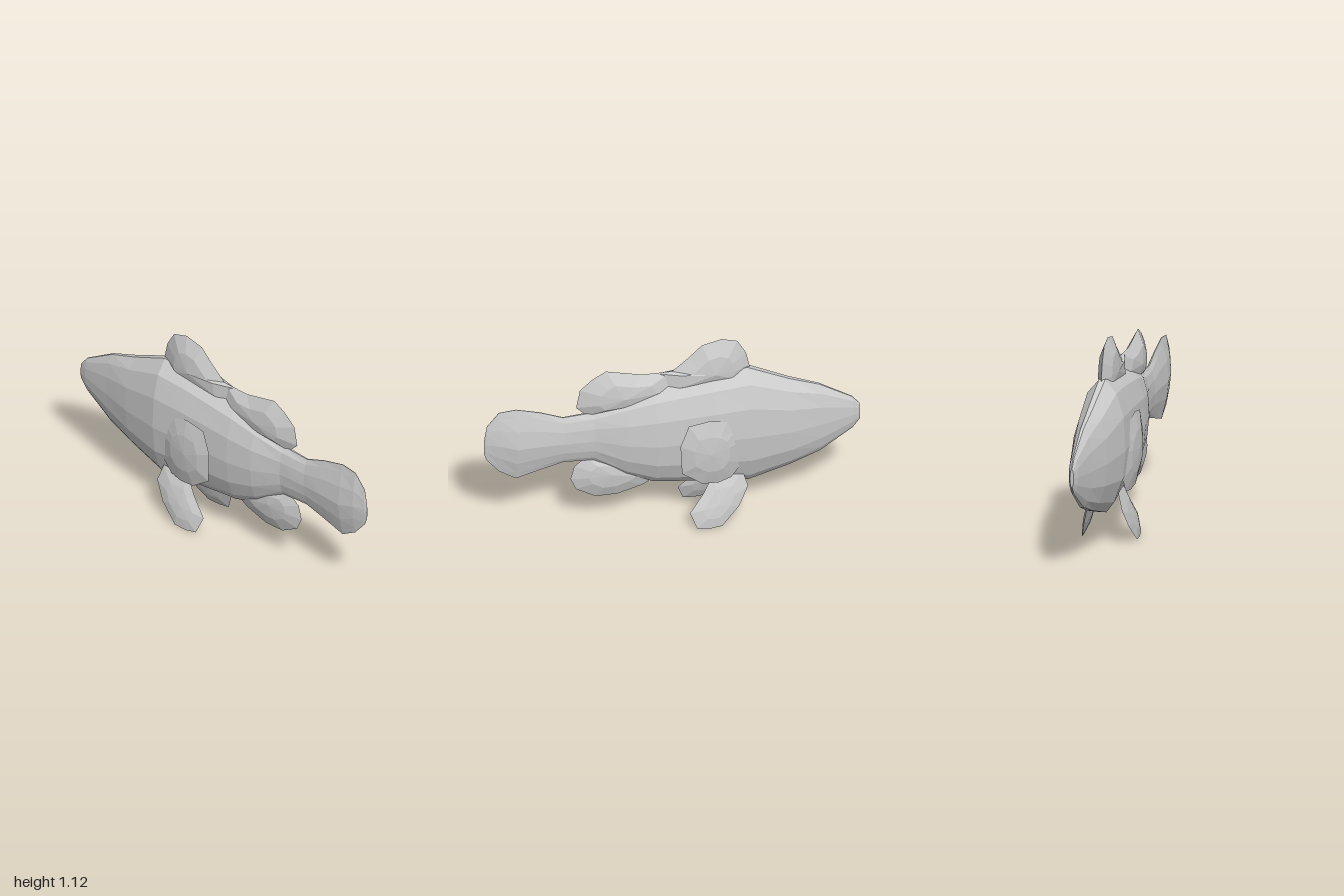
import * as THREE from 'three';

// Body stations: z, bottom, top, centre x, half width, lens blend (0 = full flank, 1 = thin fin)
const STATIONS = [
  [-1.0, 0.50, 0.60, 0.066, 0.010, 0],
  [-0.96, 0.45, 0.65, 0.064, 0.025, 0],
  [-0.785, 0.33, 0.757, 0.05, 0.058, 0],
  [-0.62, 0.265, 0.82, 0.035, 0.095, 0],
  [-0.4, 0.195, 0.92, 0.01, 0.125, 0],
  [-0.2, 0.22, 0.90, 0, 0.125, 0],
  [0.1, 0.25, 0.85, -0.028, 0.108, 0],
  [0.25, 0.31, 0.80, -0.043, 0.085, 0],
  [0.42, 0.425, 0.73, -0.055, 0.042, 0],
  [0.58, 0.43, 0.718, -0.067, 0.035, 0.4],
  [0.7, 0.395, 0.765, -0.078, 0.039, 0.8],
  [0.83, 0.355, 0.80, -0.09, 0.041, 1],
  [0.92, 0.41, 0.79, -0.1, 0.027, 1],
  [0.985, 0.49, 0.71, -0.104, 0.010, 1],
  [1.0, 0.53, 0.62, -0.105, 0.003, 1],
];

// Half cross-section from back to belly: height fraction, flank width, lens width
const SECTION = [
  [1, 0.13, 0.04], [0.9, 0.62, 0.3], [0.72, 0.92, 0.75], [0.47, 1, 1],
  [0.25, 0.87, 0.7], [0.08, 0.52, 0.25], [0, 0.18, 0.04],
];

const material = () => new THREE.MeshStandardMaterial({
  color: 0xcccccc, flatShading: true, side: THREE.DoubleSide,
});

function makeMesh(name, points, index) {
  const geometry = new THREE.BufferGeometry();
  geometry.setAttribute('position', new THREE.Float32BufferAttribute(points.flat(), 3));
  geometry.setIndex(index);
  geometry.computeVertexNormals();
  const mesh = new THREE.Mesh(geometry, material());
  mesh.name = name;
  return mesh;
}

// Sideways curve of the spine
function spineX(z) {
  const i = Math.max(1, STATIONS.findIndex((s) => s[0] >= z));
  const a = STATIONS[i - 1], b = STATIONS[i];
  return THREE.MathUtils.mapLinear(z, a[0], b[0], a[3], b[3]);
}

// Loft of head, trunk and tail fin
function makeBody() {
  const points = [], index = [];
  const n = SECTION.length * 2;
  for (const [z, bottom, top, cx, half, lens] of STATIONS) {
    const side = (sign) => SECTION.map(([t, flank, thin]) => [
      cx + sign * half * THREE.MathUtils.lerp(flank, thin, lens),
      THREE.MathUtils.lerp(bottom, top, t), z,
    ]);
    points.push(...side(1), ...side(-1).reverse());
  }
  for (let r = 0; r < STATIONS.length - 1; r++) {
    for (let i = 0; i < n; i++) {
      const a = r * n + i, b = r * n + (i + 1) % n;
      index.push(a, a + n, b, b, a + n, b + n);
    }
  }
  // Snout and tail caps
  const last = (STATIONS.length - 1) * n;
  for (let i = 1; i < n - 1; i++) {
    index.push(0, i, i + 1, last, last + i + 1, last + i);
  }
  return makeMesh('bodyAndTail', points, index);
}

// Lens-shaped fin: sharp [z, y] outline, thick middle, placed sideways by xAt(z, y)
function makeFin(name, outline, [cz, cy], thickness, xAt) {
  const n = outline.length;
  const points = [], index = [];
  const add = (z, y, w) => points.push([xAt(z, y) + w, y, z]);
  outline.forEach(([z, y]) => add(z, y, 0));
  let area = 0;
  outline.forEach(([z, y], i) => {
    const [z2, y2] = outline[(i + 1) % n];
    area += y * z2 - y2 * z;
  });
  const turn = Math.sign(area);
  for (const side of [1, -1]) {
    const base = points.length;
    outline.forEach(([z, y]) => add(
      THREE.MathUtils.lerp(z, cz, 0.45), THREE.MathUtils.lerp(y, cy, 0.45), side * thickness * 0.75));
    add(cz, cy, side * thickness);
    for (let i = 0; i < n; i++) {
      const j = (i + 1) % n;
      const tris = [[i, j, base + i], [j, base + j, base + i], [base + i, base + j, base + n]];
      for (const [a, b, c] of tris) index.push(...(side * turn > 0 ? [a, b, c] : [a, c, b]));
    }
  }
  return makeMesh(name, points, index);
}

export function createModel() {
  const fish = new THREE.Group();
  fish.name = 'fish';
  fish.add(makeBody());

  // Fins along the spine
  fish.add(makeFin('frontDorsalFin', [
    [-0.4, 0.84], [-0.415, 0.92], [-0.395, 1.01], [-0.35, 1.09], [-0.265, 1.115],
    [-0.16, 1.09], [-0.08, 1.01], [0, 0.94], [0.08, 0.935], [0.1, 0.8],
  ], [-0.22, 0.92], 0.05, spineX));
  fish.add(makeFin('rearDorsalFin', [
    [-0.06, 0.84], [0, 0.94], [0.16, 0.94], [0.35, 0.985], [0.42, 0.945],
    [0.49, 0.88], [0.51, 0.77], [0.45, 0.71], [0.2, 0.72],
  ], [0.26, 0.82], 0.05, spineX));
  fish.add(makeFin('analFin', [
    [0.08, 0.27], [0.16, 0.22], [0.29, 0.18], [0.405, 0.18], [0.51, 0.24],
    [0.54, 0.31], [0.52, 0.39], [0.46, 0.44], [0.3, 0.42],
  ], [0.33, 0.33], 0.035, spineX));

  // Paired fins
  const pectoral = [
    [-0.02, 0.36], [-0.01, 0.54], [-0.055, 0.665], [-0.17, 0.687], [-0.26, 0.66],
    [-0.33, 0.6], [-0.36, 0.52], [-0.35, 0.36], [-0.29, 0.285], [-0.22, 0.27], [-0.13, 0.28],
  ];
  const pelvic = [
    [-0.14, 0.195], [-0.06, 0.1], [-0.095, 0.01], [-0.16, 0], [-0.23, 0.005],
    [-0.33, 0.1], [-0.385, 0.2], [-0.36, 0.29], [-0.2, 0.29],
  ];
  for (const [label, sign, peak, bend] of [['left', 1, -0.17, 1.1], ['right', -1, -0.1, 0.7]]) {
    fish.add(makeFin(`${label}PectoralFin`, pectoral, [-0.17, 0.48], 0.01,
      (z, y) => sign * (0.146 - bend * (z - peak) ** 2 - 0.5 * (y - 0.5) ** 2)));
    fish.add(makeFin(`${label}PelvicFin`, pelvic, [-0.21, 0.13], 0.02,
      (z, y) => sign * (0.148 - 0.27 * y)));
  }
  return fish;
}
